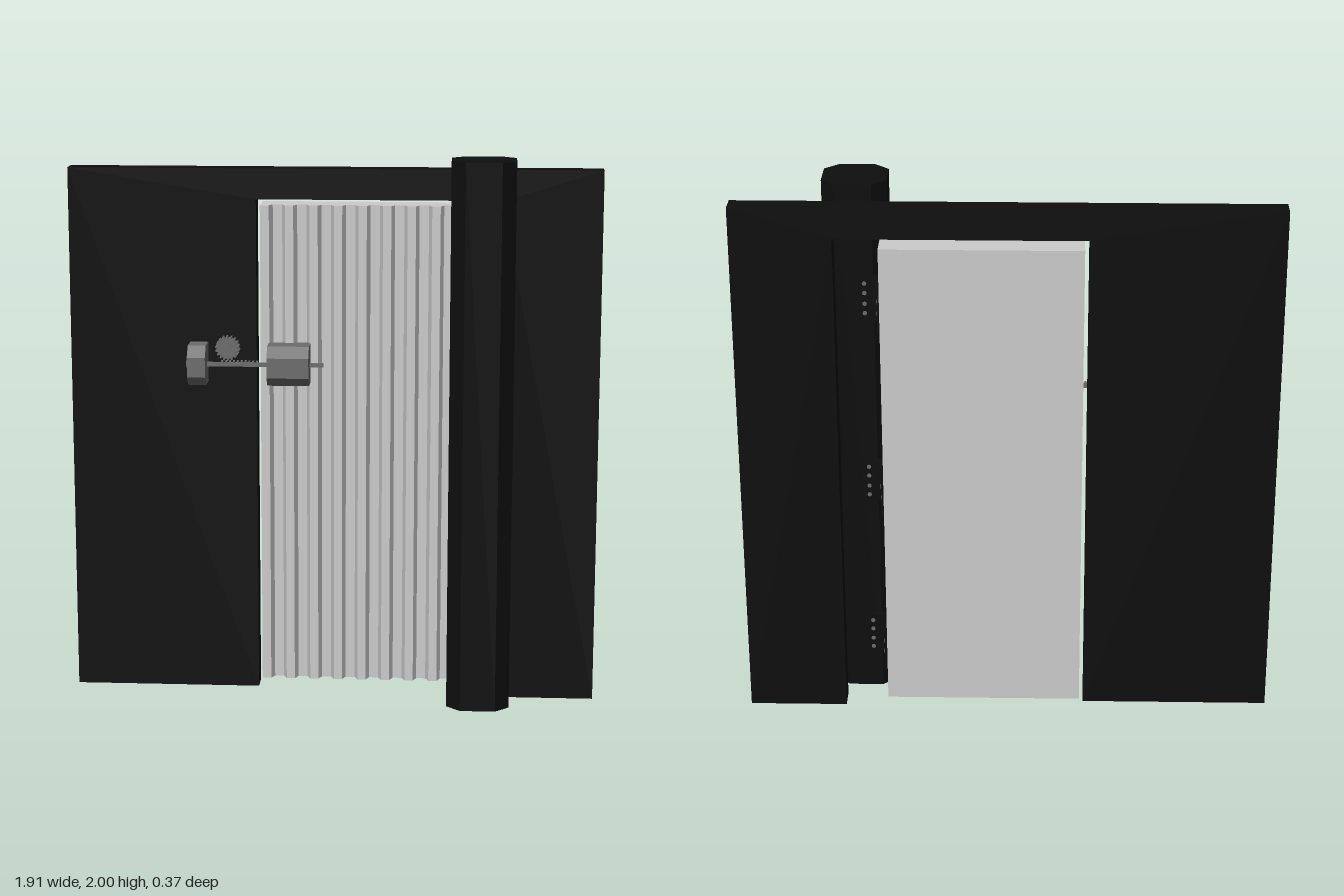
import * as THREE from 'three';

const mat = (color) => new THREE.MeshStandardMaterial({ color, flatShading: true });
const black = mat(0x0e0e0e), steel = mat(0x6c6c6c), grey = mat(0xcccccc);

function add(parent, name, geometry, material, x = 0, y = 0, z = 0) {
  const mesh = new THREE.Mesh(geometry, material);
  mesh.name = name;
  mesh.position.set(x, y, z);
  parent.add(mesh);
  return mesh;
}

const group = (parent, name) => {
  const g = new THREE.Group();
  g.name = name;
  parent.add(g);
  return g;
};

const extrude = (points, depth) => new THREE.ExtrudeGeometry(
  new THREE.Shape(points.map(([x, y]) => new THREE.Vector2(x, y))),
  { depth, bevelEnabled: false });

// Extrudes an (x, z) outline upward from y = 0
const extrudeUp = (points, height) =>
  extrude(points.map(([x, z]) => [x, -z]), height).rotateX(-Math.PI / 2);

// Extrudes a (z, y) outline along +x, centred
const extrudeAcross = (points, width) =>
  extrude(points.map(([z, y]) => [-z, y]), width).rotateY(Math.PI / 2).translate(-width / 2, 0, 0);

// Toothed disc facing +z
function gearGeometry(teeth, inner, outer, depth) {
  const points = [];
  for (let i = 0; i < teeth; i++) {
    [[0, inner], [0.3, inner], [0.45, outer], [0.8, outer]].forEach(([t, r]) => {
      const a = ((i + t) / teeth) * Math.PI * 2;
      points.push([Math.cos(a) * r, Math.sin(a) * r]);
    });
  }
  return extrude(points, depth);
}

// Corrugated panel: flat back, trapezoid ribs on the front
function makeDoor(parent) {
  const left = -0.265, right = 0.44, base = -0.082, crest = -0.053;
  const outline = [[right, -0.185], [left, -0.185], [left, crest]];
  for (let i = 0; i < 8; i++) {
    const c = -0.248 + i * 0.0875;
    if (i > 0) outline.push([c - 0.027, base], [c - 0.015, crest]);
    outline.push([c + 0.015, crest], [c + 0.027, base]);
  }
  outline.push([right, base]);
  add(parent, 'corrugatedDoor', extrudeUp(outline, 1.76), grey, 0, 0.06, 0);
}

function makeHinge(parent, y) {
  const hinge = group(parent, 'hinge');
  hinge.position.set(0.44, y, 0);
  add(hinge, 'doorLeaf', new THREE.BoxGeometry(0.008, 0.166, 0.13), black, 0.004, 0.008, -0.12);
  add(hinge, 'postLeaf', new THREE.BoxGeometry(0.085, 0.166, 0.012), black, 0.043, -0.002, -0.046);
  // Interleaved knuckles on one pin
  for (let i = 0; i < 5; i++) {
    add(hinge, 'knuckle', new THREE.CylinderGeometry(0.012, 0.012, 0.033, 10), black,
      0, -0.068 + i * 0.036, -0.055);
  }
  add(hinge, 'pin', new THREE.CylinderGeometry(0.006, 0.006, 0.178, 8), black, 0, 0.003, -0.055);
  // Screw heads on both leaves
  for (const dy of [-0.055, -0.02, 0.02, 0.055]) {
    add(hinge, 'postScrew', new THREE.CylinderGeometry(0.008, 0.008, 0.004, 8).rotateX(Math.PI / 2),
      steel, 0.06, dy, -0.053);
  }
  for (const dy of [-0.012, 0.03]) {
    for (const z of [-0.163, -0.105]) {
      add(hinge, 'doorScrew', new THREE.CylinderGeometry(0.009, 0.009, 0.004, 8).rotateZ(Math.PI / 2),
        steel, 0.009, dy, z);
    }
  }
}

function makeLatch(parent) {
  const latch = group(parent, 'latch');
  latch.position.y = 1.25;
  // Chamfered housings that the bolt slides through
  const profile = [[-0.065, -0.07], [0.02, -0.07], [0.055, -0.037], [0.055, 0.035],
    [0.02, 0.073], [-0.065, 0.073]];
  add(latch, 'doorHousing', extrudeAcross(profile, 0.15), steel, -0.16, 0, 0);
  add(latch, 'wallHousing', extrudeAcross(profile, 0.065), steel, -0.488, 0, 0);
  // Bolt with rack teeth and a tapered end
  add(latch, 'bolt', new THREE.BoxGeometry(0.47, 0.014, 0.016), steel, -0.27, 0, -0.015);
  add(latch, 'boltEnd', new THREE.CylinderGeometry(0.026, 0.012, 0.012, 10).rotateZ(-Math.PI / 2),
    steel, -0.525, 0, -0.015);
  for (let i = 0; i < 10; i++) {
    add(latch, 'rackTooth', new THREE.BoxGeometry(0.007, 0.008, 0.016), steel,
      -0.4 + i * 0.014, 0.01, -0.015);
  }
  // Drive gear on a short axle
  add(latch, 'gear', gearGeometry(18, 0.036, 0.044, 0.036), steel, -0.38, 0.06, -0.033);
  add(latch, 'axle', new THREE.CylinderGeometry(0.015, 0.015, 0.075, 10).rotateX(Math.PI / 2),
    steel, -0.38, 0.06, -0.028);
}

export function createModel() {
  const model = new THREE.Group();
  model.name = 'doorway';

  // Wall with a doorway open to the floor
  const wall = [[-0.955, 0.025], [-0.28, 0.025], [-0.28, 1.84], [0.6, 1.84],
    [0.6, 0], [0.955, 0], [0.955, 1.95], [-0.955, 1.95]];
  add(model, 'wall', extrude(wall, 0.08), black, 0, 0, -0.142);

  // Eight-sided post in front of the wall
  const h = 0.113, c = 0.063;
  const post = [[-h, -c], [-c, -h], [c, -h], [h, -c], [h, c], [c, h], [-c, h], [-h, c]];
  add(model, 'post', extrudeUp(post, 1.973), black, 0.532, 0.027, 0.074);

  makeDoor(model);
  for (const y of [1.59, 0.885, 0.255]) makeHinge(model, y);
  makeLatch(model);
  return model;
}
